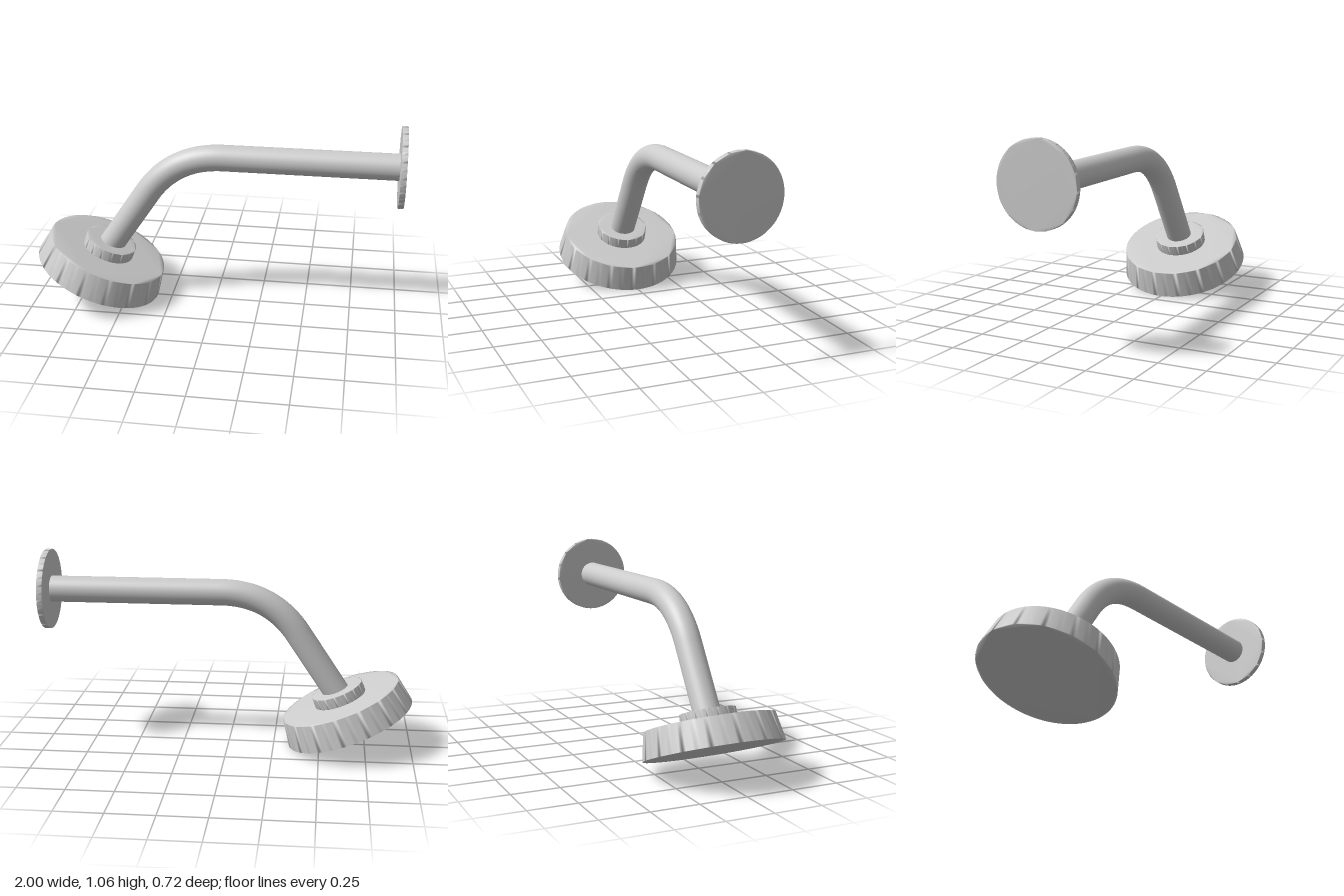
import * as THREE from 'three';
import { mergeVertices } from 'three/addons/utils/BufferGeometryUtils.js';

const material = new THREE.MeshStandardMaterial({ color: 0xcccccc });

// Tapered disc standing on y = 0, with normals blended over its rims
function softDisc(bottomRadius, topRadius, height, sides = 64) {
  const circle = new THREE.Shape().absarc(0, 0, 1, 0, Math.PI * 2);
  const geometry = new THREE.ExtrudeGeometry(circle, {
    depth: height, bevelEnabled: false, curveSegments: sides,
  });
  geometry.deleteAttribute('uv');
  geometry.deleteAttribute('normal');
  const p = geometry.attributes.position;
  for (let i = 0; i < p.count; i++) {
    const r = THREE.MathUtils.lerp(bottomRadius, topRadius, p.getZ(i) / height);
    p.setXY(i, p.getX(i) * r, p.getY(i) * r);
  }
  geometry.rotateX(-Math.PI / 2);
  const merged = mergeVertices(geometry, 1e-4);
  merged.computeVertexNormals();
  return merged;
}

function addPart(parent, name, geometry) {
  const mesh = new THREE.Mesh(geometry, material);
  mesh.name = name;
  parent.add(mesh);
  return mesh;
}

export function createModel() {
  const model = new THREE.Group();
  model.name = 'showerArmAndHead';
  const armY = 0.85;

  // Wall flange at the end of the arm
  const flange = addPart(model, 'wallFlange', softDisc(0.216, 0.216, 0.03));
  flange.rotation.z = -Math.PI / 2;
  flange.position.set(0.97, armY, 0);

  // Bent arm: straight run, bend, straight drop into the collar
  const v = (x, y) => new THREE.Vector3(x, y, 0);
  const bendStart = v(0.04, armY), bendEnd = v(-0.375, 0.63), armEnd = v(-0.6, 0.292);
  const path = new THREE.CurvePath();
  path.add(new THREE.LineCurve3(v(0.98, armY), bendStart));
  path.add(new THREE.QuadraticBezierCurve3(bendStart, v(-0.228, armY), bendEnd));
  path.add(new THREE.LineCurve3(bendEnd, armEnd));
  addPart(model, 'arm', new THREE.TubeGeometry(path, 96, 0.071, 32, false));

  // Tilted head: flared body with a collar on top
  const head = new THREE.Group();
  head.name = 'showerHead';
  head.position.set(-0.665, 0.137, 0);
  head.rotation.z = -0.383;
  addPart(head, 'headBody', softDisc(0.36, 0.334, 0.144));
  addPart(head, 'collar', softDisc(0.144, 0.144, 0.06)).position.y = 0.142;
  model.add(head);

  return model;
}
